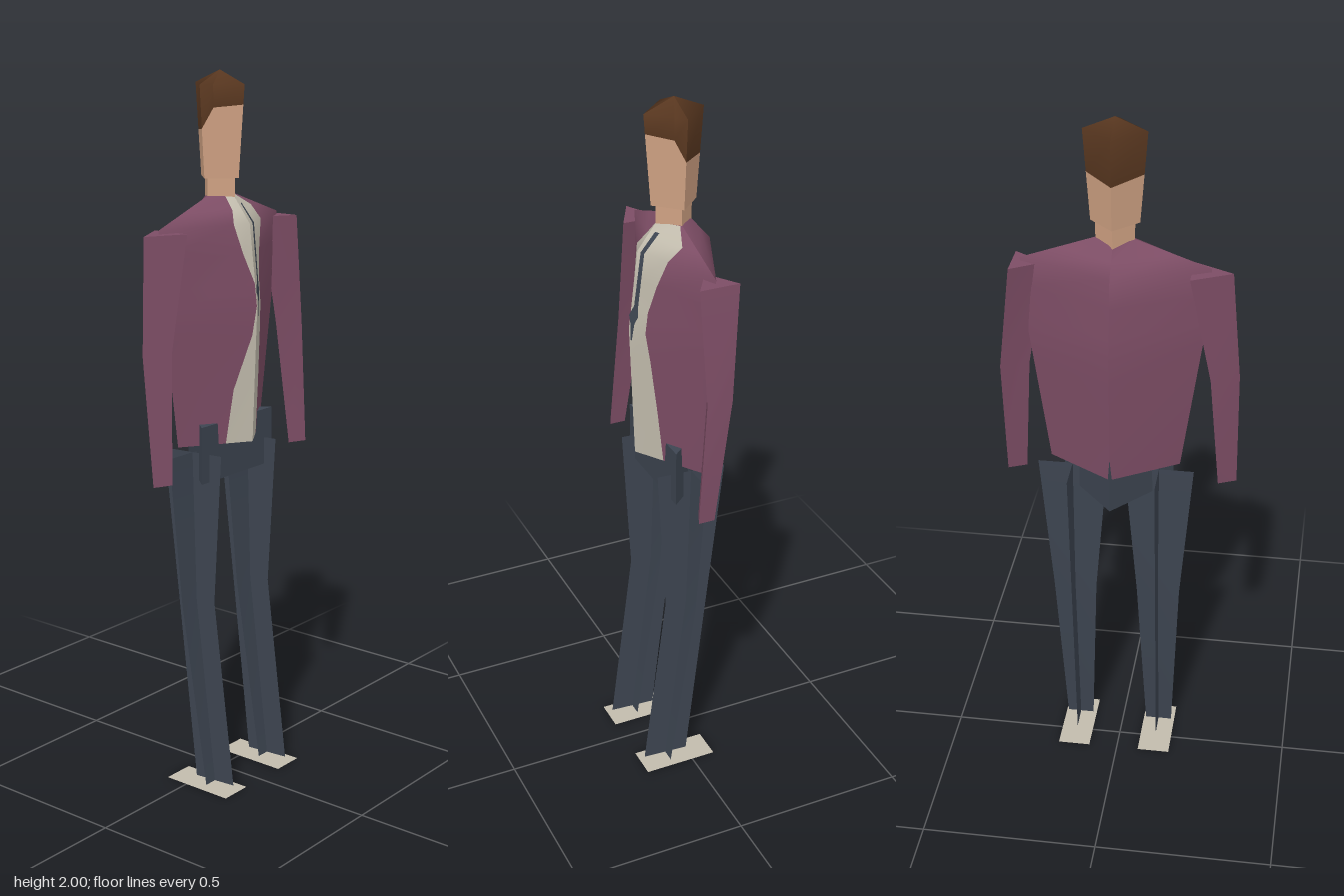
import * as THREE from 'three';

const CX = 0.01, CZ = -0.013; // axis of the body

function material(name, color) {
  const m = new THREE.MeshStandardMaterial({ color, side: THREE.DoubleSide });
  m.name = name;
  return m;
}

// Linear lookup in rows of [y, a, b, ...] sorted by y
function lookup(rows, y) {
  let i = 0;
  while (i < rows.length - 2 && y > rows[i + 1][0]) i++;
  const a = rows[i], b = rows[i + 1];
  const t = THREE.MathUtils.clamp((y - a[0]) / (b[0] - a[0]), 0, 1);
  return a.slice(1).map((v, k) => v + (b[k + 1] - v) * t);
}

// Skin over closed rings of [x, y, z] points, bottom to top, each running
// front, +x, back, -x. Smooth along the height, sharp between the sides.
function loft(name, rings, mats, pick = () => 0) {
  const pos = [], index = [];
  const geo = new THREE.BufferGeometry();
  const n = rings[0].length;
  const add = (tri, m) => { geo.addGroup(index.length, tri.length, m); index.push(...tri); };
  for (let c = 0; c < n; c++) {
    const base = pos.length / 3;
    for (const ring of rings) pos.push(...ring[c], ...ring[(c + 1) % n]);
    for (let r = 0; r < rings.length - 1; r++) {
      const a = base + r * 2;
      add([a, a + 1, a + 3, a, a + 3, a + 2], pick(r, c));
    }
  }
  [0, rings.length - 1].forEach((r) => {
    const base = pos.length / 3;
    rings[r].forEach((p) => pos.push(...p));
    for (let c = 1; c < n - 1; c++) {
      const tri = r ? [base, base + c, base + c + 1] : [base, base + c + 1, base + c];
      add(tri, pick(Math.max(r - 1, 0), 2));
    }
  });
  geo.setAttribute('position', new THREE.Float32BufferAttribute(pos, 3));
  geo.setIndex(index);
  geo.computeVertexNormals();
  const mesh = new THREE.Mesh(geo, mats);
  mesh.name = name;
  return mesh;
}

// Open ribbon between pairs of points
function ribbon(name, pairs, mat) {
  const pos = pairs.flat(2), index = [];
  for (let i = 0; i < pairs.length - 1; i++) {
    const a = i * 2;
    index.push(a, a + 1, a + 3, a, a + 3, a + 2);
  }
  const geo = new THREE.BufferGeometry();
  geo.setAttribute('position', new THREE.Float32BufferAttribute(pos, 3));
  geo.setIndex(index);
  geo.computeVertexNormals();
  const mesh = new THREE.Mesh(geo, mat);
  mesh.name = name;
  return mesh;
}

export function createModel() {
  const model = new THREE.Group();
  model.name = 'standingMan';
  const jacket = material('plum jacket', 0x7d4d65);
  const shirt = material('pale shirt', 0xc2bcad);
  const trousers = material('slate trousers', 0x3d4551);
  const skin = material('skin', 0xd0a283);
  const hair = material('brown hair', 0x57361f);

  // Torso: height, half width, front z, back z
  const body = [
    [1.0, 0.18, 0.103, -0.125],
    [1.38, 0.235, 0.117, -0.142],
    [1.6, 0.253, 0.09, -0.118],
    [1.67, 0.055, 0.036, -0.058],
  ];
  // Shirt opening: height, right edge, left edge
  const opening = [
    [1.0, -0.055, 0.088],
    [1.15, -0.042, 0.08],
    [1.3, 0.0, 0.068],
    [1.38, 0.009, 0.058],
    [1.44, 0.009, 0.06],
    [1.52, -0.015, 0.08],
    [1.6, -0.035, 0.11],
    [1.635, -0.015, 0.115],
    [1.67, -0.008, 0.06],
  ];
  const frontZ = (x, y) => {
    const [w, f] = lookup(body, y);
    return f - (f - CZ) * Math.min(Math.abs(x - CX) / w, 1);
  };
  const rings = opening.map(([y, xr, xl]) => {
    const [w, f, b] = lookup(body, y);
    return [
      [CX, y, f], [xl, y, frontZ(xl, y)], [CX + w, y, CZ],
      [CX, y, b], [CX - w, y, CZ], [xr, y, frontZ(xr, y)],
    ];
  });
  model.add(loft('torso', rings, [jacket, shirt], (r, c) => (c === 0 || c === 5 ? 1 : 0)));

  // Tie lying on the shirt: height, two edges
  const tie = [
    [1.35, 0.018, 0.021], [1.4, 0.016, 0.028], [1.42, 0.008, 0.036],
    [1.45, 0.022, 0.034], [1.6, 0.025, 0.037], [1.65, 0.025, 0.037],
  ];
  model.add(ribbon('tie', tie.map(([y, a, b]) =>
    [a, b].map((x) => [x, y, frontZ(x, y) + 0.004])), trousers));

  // Pelvis: triangular block, flat side forward
  const pelvis = [0.9, 1.06].map((y) => [
    [-0.145, y, 0.05], [0.165, y, 0.05], [CX, y, -0.128],
  ]);
  model.add(loft('pelvis', pelvis, [trousers]));

  // Neck and head are four-sided
  const diamond = (y, r) => [[CX, y, CZ + r], [CX + r, y, CZ], [CX, y, CZ - r], [CX - r, y, CZ]];
  model.add(loft('neck', [diamond(1.66, 0.052), diamond(1.725, 0.052)], [skin]));

  // Head columns: x direction, z direction, hairline height
  const columns = [
    [0, 1, 1.912], [0.7, 0.3, 1.905], [1, 0, 1.85], [0, -1, 1.84], [-1, 0, 1.85], [-0.7, 0.3, 1.905],
  ];
  const headWidth = [[1.718, 0.065], [1.965, 0.084], [2.0, 0.001]];
  const headRing = (height) => columns.map(([dx, dz, line]) => {
    const y = height ?? line, [r] = lookup(headWidth, y);
    return [CX + dx * r, y, CZ + dz * r];
  });
  model.add(loft('head', [1.718, null, 1.965, 2.0].map(headRing), [skin, hair], (r) => (r ? 1 : 0)));

  // Arms: three-sided sleeves [y, point x, flat x, front z, back z], the same way round on both sides
  const arms = {
    rightArm: [[0.93, -0.325, -0.275, 0.056, 0.01], [1.28, -0.325, -0.25, 0.036, -0.036], [1.59, -0.3, -0.192, 0.042, -0.07]],
    leftArm: [[0.93, 0.27, 0.32, 0.056, 0.01], [1.28, 0.248, 0.322, 0.036, -0.036], [1.59, 0.195, 0.284, 0.042, -0.07]],
  };
  for (const [name, rows] of Object.entries(arms)) {
    model.add(loft(name, rows.map(([y, tip, flat, f, b]) =>
      [[flat, y, f], [flat, y, b], [tip, y, (f + b) / 2]]), [jacket]));
  }

  // Legs: two crossing sheets each, over a flat sole
  const leg = [ // height, half width, front z, back z
    [0.015, 0.039, 0.135, 0.0],
    [0.55, 0.062, 0.066, -0.062],
    [0.975, 0.0975, 0.09, -0.112],
  ];
  for (const [side, x] of [['right', CX - 0.1215], ['left', CX + 0.1215]]) {
    const group = new THREE.Group();
    group.name = side + 'Leg';
    group.add(ribbon('trouserFront', leg.map(([y, w, f, b]) =>
      [[x - w, y, (f + b) / 2], [x + w, y, (f + b) / 2]]), trousers));
    group.add(ribbon('trouserSide', leg.map(([y, , f, b]) =>
      [[x, y + 0.004, f], [x, y - 0.004, b]]), trousers));
    group.add(ribbon('sole', [
      [[x - 0.047, 0, 0.145], [x + 0.047, 0, 0.145]],
      [[x - 0.047, 0, -0.07], [x + 0.047, 0, -0.07]],
    ], shirt));
    model.add(group);
  }
  return model;
}
